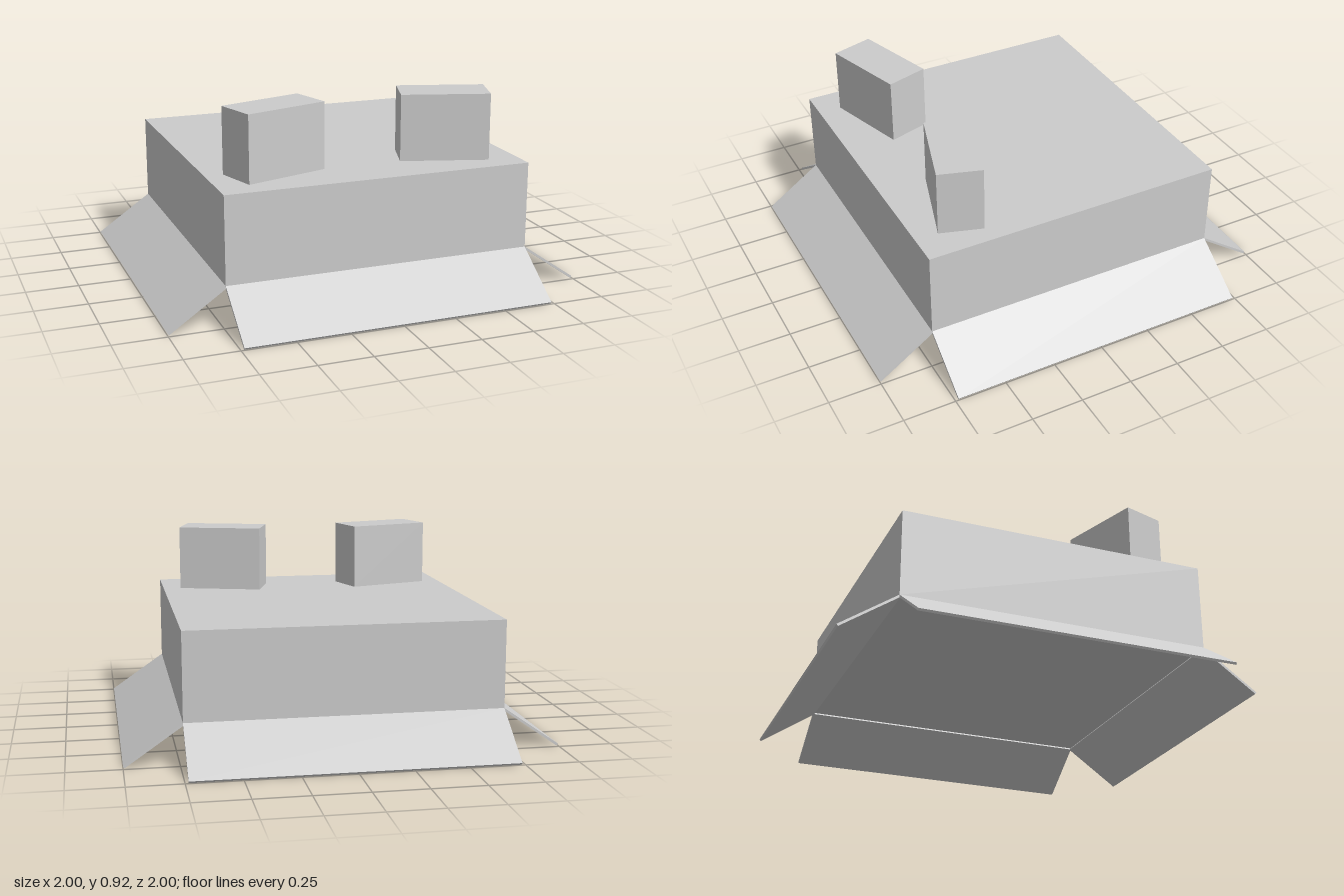
import * as THREE from 'three';

export function createModel() {
  const model = new THREE.Group();
  model.name = 'openBox';
  const grey = new THREE.MeshStandardMaterial({ color: 0xcccccc });
  grey.name = 'light grey';

  const half = 0.735, hingeY = 0.192, topY = 0.604, thick = 0.011;

  const addBox = (parent, name, w, h, d, x, y, z) => {
    const mesh = new THREE.Mesh(new THREE.BoxGeometry(w, h, d), grey);
    mesh.name = name;
    mesh.position.set(x, y, z);
    parent.add(mesh);
    return mesh;
  };

  // Main box
  addBox(model, 'body', half * 2, topY - hingeY, half * 2, 0, (topY + hingeY) / 2, 0);

  // Four flaps sloping from the lower edges down to the ground
  const tipY = 0.009;
  const slope = Math.atan2(hingeY - tipY, 1 - half);
  const length = Math.hypot(hingeY - tipY, 1 - half);
  ['frontFlap', 'leftFlap', 'backFlap', 'rightFlap'].forEach((name, i) => {
    const side = new THREE.Group();
    side.name = name;
    side.rotation.y = i * Math.PI / 2;
    const hinge = new THREE.Group();
    hinge.name = name + 'Hinge';
    hinge.position.set(0, hingeY, half);
    hinge.rotation.x = slope;
    addBox(hinge, name + 'Panel', half * 2, thick, length, 0, -thick / 2, length / 2);
    side.add(hinge);
    model.add(side);
  });

  // Two turned blocks on top, near the front
  const blockTop = 0.92;
  for (const s of [-1, 1]) {
    const block = addBox(model, s > 0 ? 'leftBlock' : 'rightBlock',
      0.417, blockTop - topY, 0.209, s * 0.418, (blockTop + topY) / 2, 0.463);
    block.rotation.y = -s * 0.3;
  }

  return model;
}
